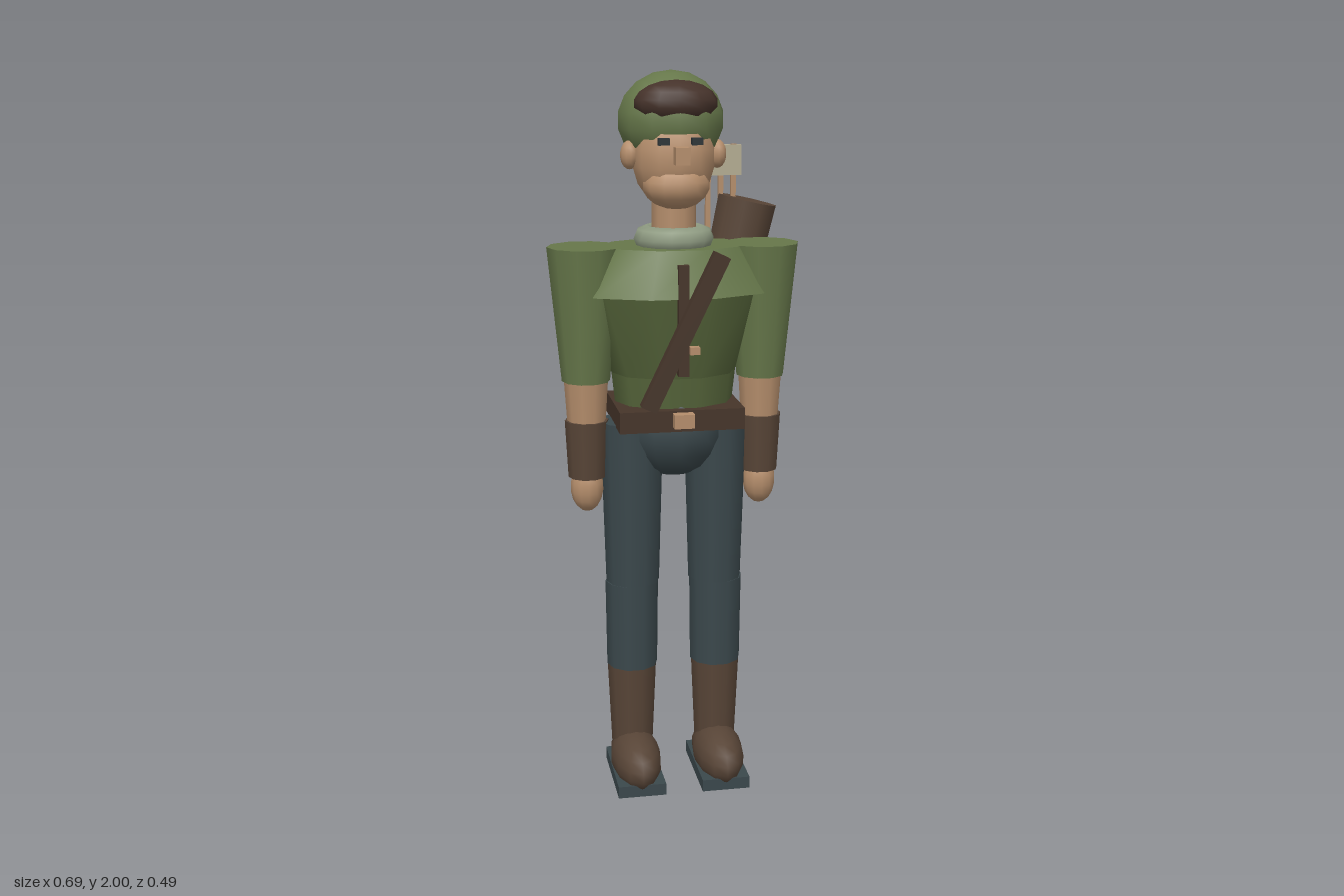
import * as THREE from 'three';

const flat = (name, color) => {
  const m = new THREE.MeshStandardMaterial({ color });
  m.name = name;
  return m;
};

export function createModel() {
  const mat = {
    green: flat('cloth green', 0x66774a),
    tunic: flat('tunic green', 0x55643a),
    skin: flat('skin', 0xb58e6c),
    leather: flat('leather', 0x584537),
    strap: flat('dark leather', 0x46352a),
    hair: flat('hair brown', 0x45322a),
    slate: flat('slate', 0x3b484c),
    eye: flat('eye dark', 0x2c3336),
    collar: flat('collar sage', 0x8f9b82),
    feather: flat('feather cream', 0xb3ac92),
  };
  const model = new THREE.Group();
  model.name = 'archer';
  const AXIS_Z = 0.045; // body axis sits slightly forward

  const add = (name, geo, material, x, y, z, parent = model) => {
    const mesh = new THREE.Mesh(geo, material);
    mesh.name = name;
    mesh.position.set(x, y, z);
    parent.add(mesh);
    return mesh;
  };
  const box = (name, material, w, h, d, x, y, z, parent) =>
    add(name, new THREE.BoxGeometry(w, h, d), material, x, y, z, parent);
  const ball = (name, material, rx, ry, rz, x, y, z, parent) =>
    add(name, new THREE.SphereGeometry(1, 12, 9).scale(rx, ry, rz), material, x, y, z, parent);
  // ten-sided tapered tube between two heights
  const tube = (name, material, y0, r0, y1, r1, x, z = AXIS_Z, parent = model) =>
    add(name, new THREE.CylinderGeometry(r1, r0, y1 - y0, 10, 1, false, Math.PI / 2),
      material, x, (y0 + y1) / 2, z, parent);
  // tapered tube whose depth changes independently of its width
  const oval = (name, material, y0, rx0, rz0, y1, rx1, rz1) => {
    const mesh = tube(name, material, y0, rx0, y1, rx1, 0);
    const p = mesh.geometry.attributes.position;
    const n = mesh.geometry.attributes.normal;
    const v = new THREE.Vector3();
    for (let i = 0; i < p.count; i++) {
      const k = p.getY(i) > 0 ? rz1 / rx1 : rz0 / rx0;
      p.setZ(i, p.getZ(i) * k);
      v.fromBufferAttribute(n, i);
      v.z /= k;
      v.normalize();
      n.setXYZ(i, v.x, v.y, v.z);
    }
    return mesh;
  };

  // Torso and shoulder yoke
  oval('waist', mat.tunic, 1.09, 0.16, 0.12, 1.2, 0.172, 0.124);
  oval('chest', mat.tunic, 1.2, 0.172, 0.124, 1.43, 0.25, 0.145);
  oval('shoulderYoke', mat.green, 1.42, 0.28, 0.16, 1.545, 0.195, 0.135);

  // Neck and collar
  tube('neck', mat.skin, 1.54, 0.06, 1.7, 0.06, 0);
  add('collar', new THREE.TorusGeometry(0.075, 0.034, 8, 14).rotateX(Math.PI / 2),
    mat.collar, 0, 1.563, AXIS_Z);

  // Head
  ball('head', mat.skin, 0.112, 0.135, 0.108, 0, 1.775, 0.045);
  ball('jaw', mat.skin, 0.09, 0.062, 0.075, 0, 1.705, 0.085);
  box('nose', mat.skin, 0.038, 0.045, 0.06, 0, 1.788, 0.155);
  ball('cap', mat.green, 0.144, 0.13, 0.144, 0, 1.87, 0);
  ball('fringe', mat.hair, 0.112, 0.06, 0.07, 0, 1.917, 0.077);

  // Belt, placket and cross strap
  box('belt', mat.strap, 0.34, 0.058, 0.265, 0, 1.09, 0.053);
  box('buckle', mat.skin, 0.055, 0.038, 0.035, 0, 1.095, 0.198);
  box('placket', mat.strap, 0.028, 0.295, 0.03, 0, 1.362, 0.186);
  for (const y of [1.285, 1.37]) box('toggle', mat.skin, 0.026, 0.02, 0.024, 0.028, y, 0.202);
  const strap = box('crossStrap', mat.strap, 0.045, 0.45, 0.031, 0, 1.335, 0.212);
  strap.rotation.z = -0.45;

  // Hips
  ball('hips', mat.slate, 0.15, 0.145, 0.134, 0, 1.05, AXIS_Z);

  // Mirrored parts
  for (const s of [1, -1]) {
    const side = s > 0 ? 'left' : 'right';
    ball(side + 'Ear', mat.skin, 0.025, 0.038, 0.03, s * 0.118, 1.783, 0.04);
    box(side + 'Eye', mat.eye, 0.03, 0.018, 0.02, s * 0.044, 1.823, 0.143);

    const arm = new THREE.Group();
    arm.name = side + 'Arm';
    model.add(arm);
    tube('sleeve', mat.green, 1.18, 0.066, 1.545, 0.101, s * 0.242, AXIS_Z, arm);
    tube('forearm', mat.skin, 1.05, 0.052, 1.19, 0.061, s * 0.242, AXIS_Z, arm);
    tube('bracer', mat.leather, 0.91, 0.052, 1.07, 0.06, s * 0.242, AXIS_Z, arm);
    ball('hand', mat.skin, 0.046, 0.07, 0.046, s * 0.243, 0.88, AXIS_Z, arm);

    const leg = new THREE.Group();
    leg.name = side + 'Leg';
    model.add(leg);
    tube('thigh', mat.slate, 0.6, 0.075, 1.065, 0.088, s * 0.117, AXIS_Z, leg);
    tube('calf', mat.slate, 0.35, 0.072, 0.6, 0.075, s * 0.12, AXIS_Z, leg);
    tube('bootShaft', mat.leather, 0.08, 0.058, 0.355, 0.07, s * 0.121, AXIS_Z, leg);
    ball('bootFoot', mat.leather, 0.071, 0.078, 0.149, s * 0.12, 0.078, 0.098, leg);
    box('sole', mat.slate, 0.135, 0.034, 0.26, s * 0.12, 0.032, 0.094, leg);
  }

  // Quiver leaning outward behind the left shoulder
  const quiver = tube('quiver', mat.leather, 1.192, 0.073, 1.642, 0.085, 0.2, -0.166);
  quiver.rotation.z = -0.22;

  // Arrows with a shared block of fletching
  for (const x of [0.136, 0.172, 0.208]) box('arrowShaft', mat.skin, 0.014, 0.39, 0.014, x, 1.597, -0.172);
  box('fletching', mat.feather, 0.114, 0.084, 0.028, 0.172, 1.748, -0.172);

  return model;
}
